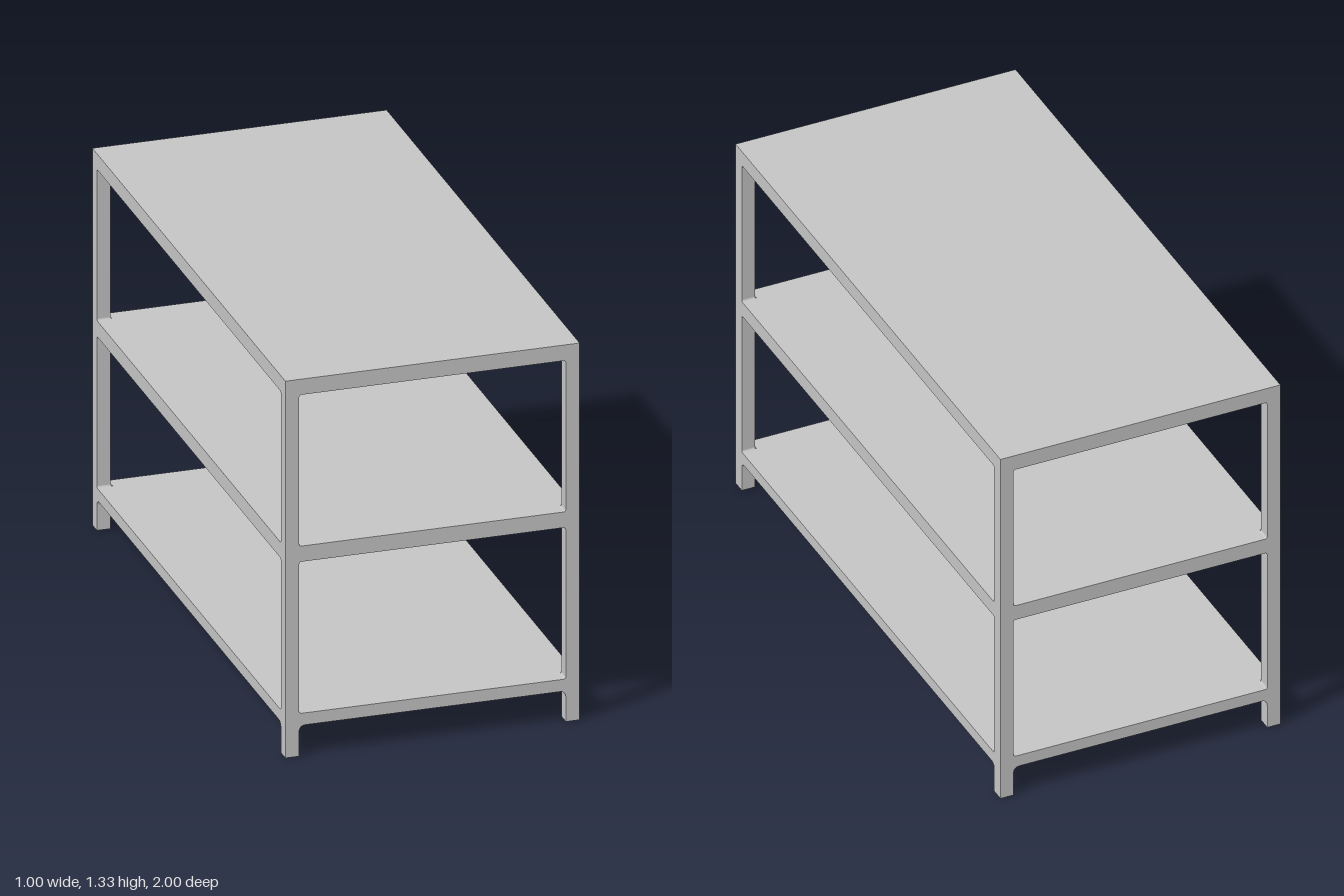
import * as THREE from 'three';

const HX = 0.5, HZ = 1, W = 0.047; // half width, half depth, leg thickness
const SHELVES = [
  { name: 'bottomShelf', y0: 0.108, y1: 0.15 },
  { name: 'middleShelf', y0: 0.683, y1: 0.738 },
  { name: 'topShelf', y0: 1.27, y1: 1.325 },
];

// Concave corner fillet: leg face on x = 0, shelf face on y = 0
function filletGeometry(r) {
  const s = new THREE.Shape();
  s.moveTo(0, 0);
  s.lineTo(0, -r);
  s.absarc(r, -r, r, Math.PI, Math.PI / 2, true);
  s.lineTo(0, 0);
  const g = new THREE.ExtrudeGeometry(s, { depth: W, bevelEnabled: false, curveSegments: 6 });
  return g.translate(0, 0, -W / 2);
}

export function createModel() {
  const model = new THREE.Group();
  model.name = 'shelvingUnit';
  const metal = new THREE.MeshStandardMaterial({ color: 0xc4c4c4 });
  metal.name = 'light grey';

  const add = (parent, geometry, name, x, y, z) => {
    const mesh = new THREE.Mesh(geometry, metal);
    mesh.name = name;
    mesh.position.set(x, y, z);
    parent.add(mesh);
    return mesh;
  };

  // Shelves
  for (const { name, y0, y1 } of SHELVES)
    add(model, new THREE.BoxGeometry(2 * HX, y1 - y0, 2 * HZ), name, 0, (y0 + y1) / 2, 0);

  const smallFillet = filletGeometry(0.008);
  const footFillet = filletGeometry(0.02);

  // Four legs, each split into the pieces between the shelves
  for (const sx of [-1, 1]) for (const sz of [-1, 1]) {
    const leg = new THREE.Group();
    leg.name = (sz > 0 ? 'front' : 'back') + (sx > 0 ? 'Left' : 'Right') + 'Leg';
    model.add(leg);
    const cx = sx * (HX - W / 2), cz = sz * (HZ - W / 2);

    SHELVES.forEach((shelf, i) => {
      const low = i ? SHELVES[i - 1].y1 : 0, high = shelf.y0;
      add(leg, new THREE.BoxGeometry(W, high - low, W), i ? 'post' : 'foot', cx, (low + high) / 2, cz);

      // Fillets along both rails, under the shelf and (above the feet) on the shelf below
      for (const [dx, dz] of [[-sx, 0], [0, -sz]]) {
        const x = cx + dx * W / 2, z = cz + dz * W / 2;
        const turn = Math.atan2(-dz, dx);
        add(leg, i ? smallFillet : footFillet, 'fillet', x, high, z).rotation.y = turn;
        if (i) add(leg, smallFillet, 'fillet', x, low, z).rotation.set(0, turn + Math.PI, Math.PI);
      }
    });
  }
  return model;
}
